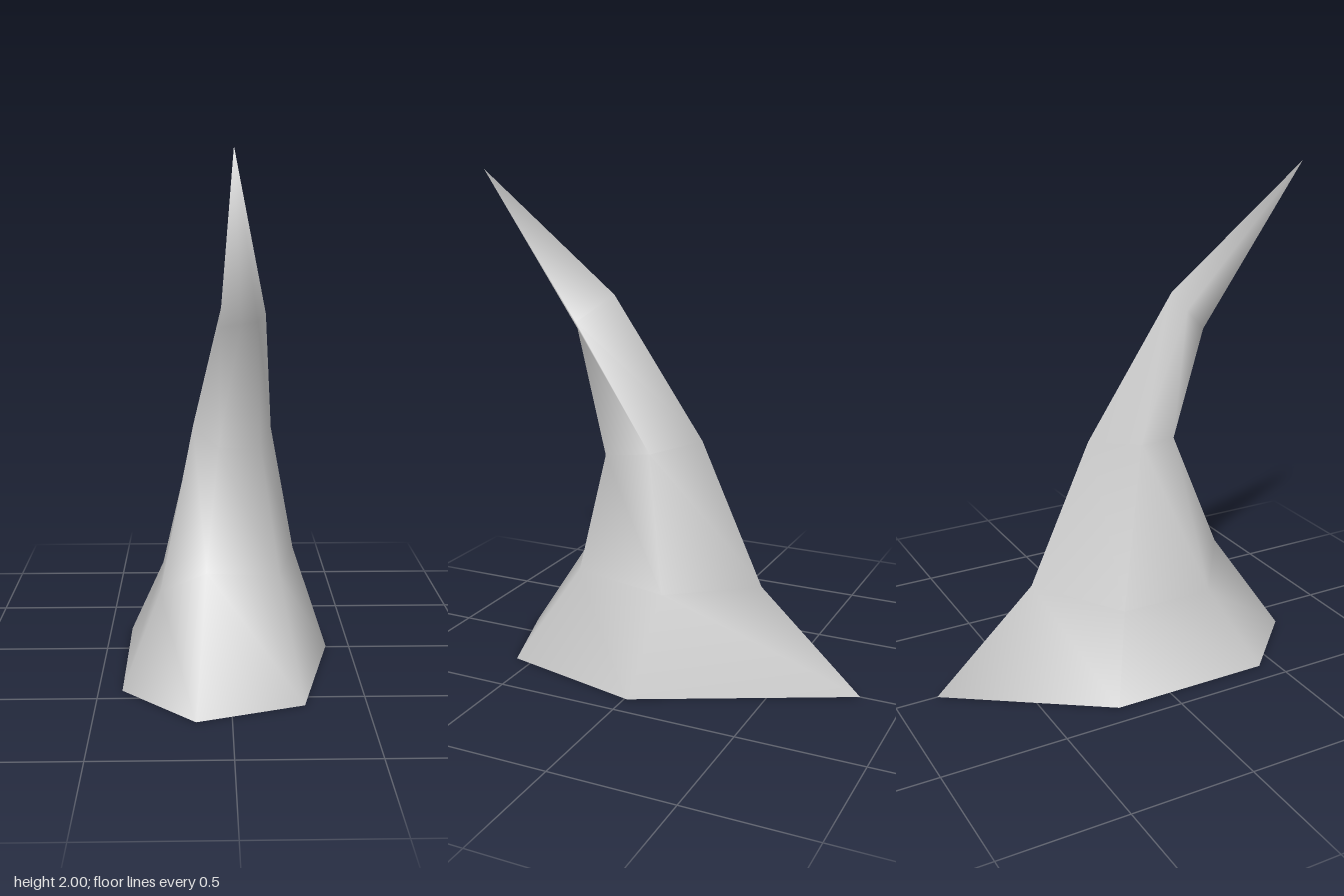
import * as THREE from 'three';

// Six-sided cross-sections from base to bend: back, left, front left, front, front right, right
const RINGS = [
  [[0, 0, -0.83], [0.405, 0, -0.01], [0.27, 0, 0.575], [-0.13, 0, 0.71], [-0.41, 0, 0.43], [-0.41, 0, -0.23]],
  [[0, 0.39, -0.41], [0.27, 0.4, -0.1], [0.19, 0.41, 0.31], [-0.09, 0.45, 0.4], [-0.27, 0.33, 0.26], [-0.27, 0.33, -0.13]],
  [[0, 0.96, -0.15], [0.17, 0.93, 0], [0.12, 0.89, 0.22], [-0.04, 0.89, 0.2], [-0.14, 0.97, 0.16], [-0.13, 0.96, 0.02]],
  [[0.01, 1.52, 0.23], [0.13, 1.42, 0.34], [0.1, 1.39, 0.35], [0.04, 1.38, 0.35], [-0.04, 1.37, 0.35], [-0.03, 1.45, 0.28]],
];
const TIP = [0, 2, 0.83];
const SIDES = 6;

function build(points, index) {
  const g = new THREE.BufferGeometry();
  g.setAttribute('position', new THREE.Float32BufferAttribute(points.flat(), 3));
  g.setIndex(index);
  g.computeVertexNormals();
  return g;
}

// Joins consecutive rings with outward-facing quads
function loftIndex(ringCount) {
  const index = [];
  for (let r = 0; r < ringCount - 1; r++) {
    for (let i = 0; i < SIDES; i++) {
      const a = r * SIDES + i, b = r * SIDES + (i + 1) % SIDES;
      index.push(a, a + SIDES, b + SIDES, a, b + SIDES, b);
    }
  }
  return index;
}

export function createModel() {
  const model = new THREE.Group();
  model.name = 'curvedHorn';
  const grey = new THREE.MeshStandardMaterial({ color: 0xcccccc, side: THREE.DoubleSide });
  grey.name = 'grey';

  // Hollow horn body, open below, closing in a forward-pointing tip
  const index = loftIndex(RINGS.length);
  const last = (RINGS.length - 1) * SIDES, tip = RINGS.length * SIDES;
  for (let i = 0; i < SIDES; i++) index.push(last + i, tip, last + (i + 1) % SIDES);
  const horn = new THREE.Mesh(build([...RINGS.flat(), TIP], index), grey);
  horn.name = 'horn';
  model.add(horn);

  // Narrow lip rising inside the base, fading out towards the back
  const inset = [0, 0.03, 0.06, 0.06, 0.06, 0.04];
  const inner = RINGS[0].map(([x, , z], i) => [x * (1 - inset[i]), inset[i] / 2, z * (1 - inset[i])]);
  const lip = new THREE.Mesh(build([...RINGS[0], ...inner], loftIndex(2).reverse()), grey);
  lip.name = 'baseLip';
  model.add(lip);
  return model;
}
